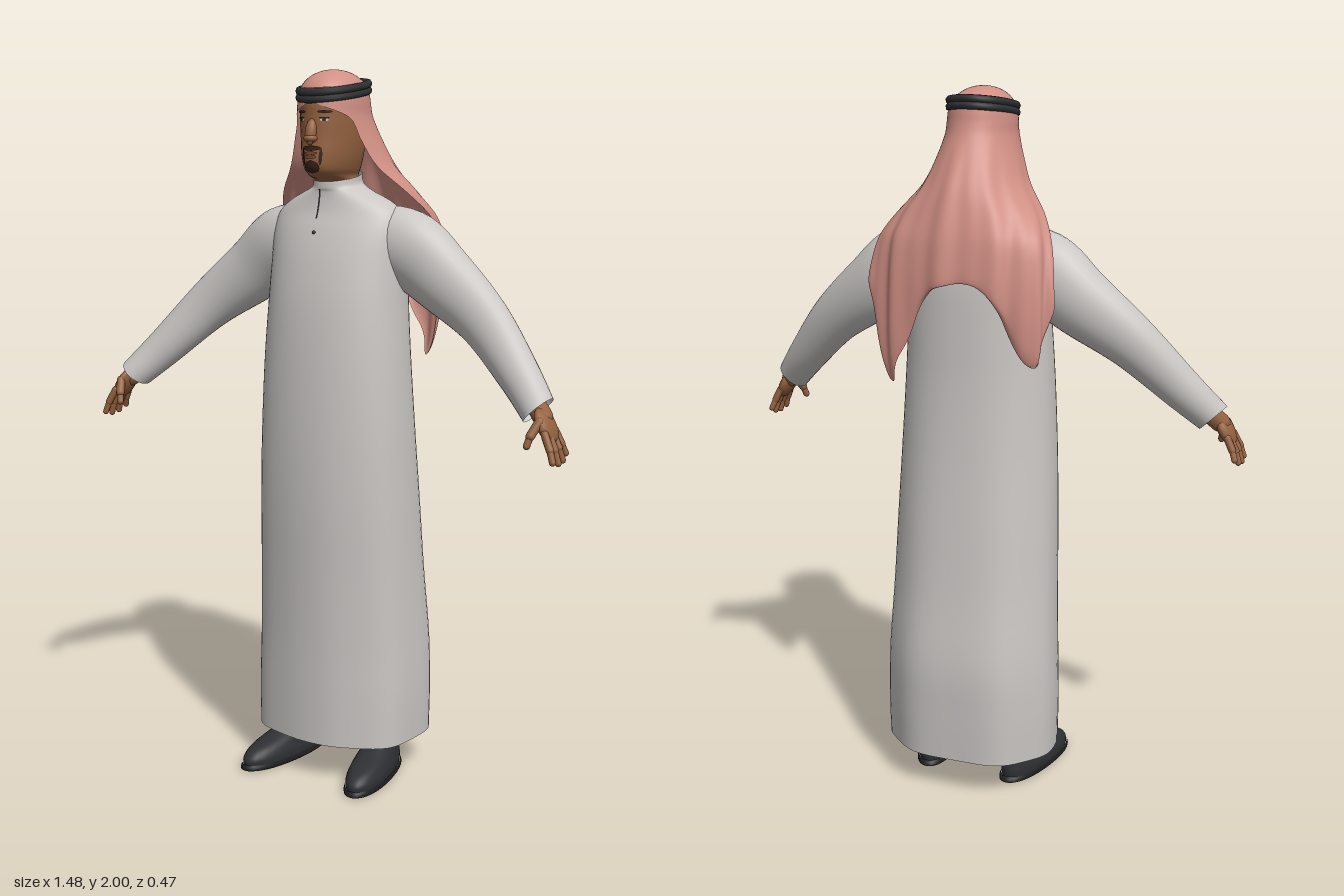
import * as THREE from 'three';

const mat = (name, color, side = THREE.FrontSide) => {
  const m = new THREE.MeshStandardMaterial({ color, side });
  m.name = name;
  return m;
};

// Catmull-Rom interpolation through rows of numbers, t in 0..1
function spline(keys, t) {
  const n = keys.length - 1, f = Math.min(Math.max(t, 0), 1) * n;
  const i = Math.min(Math.floor(f), n - 1), k = f - i;
  const [p, a, b, q] = [keys[Math.max(i - 1, 0)], keys[i], keys[i + 1], keys[Math.min(i + 2, n)]];
  return a.map((_, j) => a[j] + 0.5 * k * (b[j] - p[j]
    + k * (2 * p[j] - 5 * a[j] + 4 * b[j] - q[j] + k * (3 * (a[j] - b[j]) + q[j] - p[j]))));
}

// Smooth surface from f(u, v) -> [x, y, z]; closed wraps around u
function surface(nu, nv, f, closed = true) {
  const pos = [], idx = [], w = closed ? nu : nu + 1;
  for (let j = 0; j <= nv; j++)
    for (let i = 0; i < w; i++) pos.push(...f(i / nu, j / nv));
  for (let j = 0; j < nv; j++)
    for (let i = 0; i < nu; i++) {
      const a = j * w + i, b = j * w + (i + 1) % w;
      idx.push(a, b, b + w, a, b + w, a + w);
    }
  const g = new THREE.BufferGeometry();
  g.setAttribute('position', new THREE.Float32BufferAttribute(pos, 3));
  g.setIndex(idx);
  g.computeVertexNormals();
  return g;
}

// Point on a rounded horizontal section; keys hold [y, halfWidth, zFront, zBack]
const pw = (v, e) => Math.sign(v) * Math.abs(v) ** e;
function ring(keys, a, t, e = 1, out = 0) {
  const [y, hx, zf, zb] = spline(keys, t);
  const s = pw(Math.sin(a), e), c = pw(Math.cos(a), e);
  return [s * (hx + out), Math.max(y, 0), (zf + zb) / 2 + c * ((zf - zb) / 2 + out)];
}

const ROBE = [
  [0.11, 0.25, 0.18, -0.22], [0.25, 0.252, 0.18, -0.225], [0.4, 0.248, 0.18, -0.225],
  [0.6, 0.24, 0.184, -0.2], [0.8, 0.234, 0.19, -0.18], [1.0, 0.226, 0.19, -0.16],
  [1.2, 0.216, 0.182, -0.145], [1.36, 0.207, 0.168, -0.14], [1.48, 0.205, 0.145, -0.135],
  [1.56, 0.205, 0.12, -0.12], [1.615, 0.19, 0.097, -0.1], [1.648, 0.15, 0.088, -0.085],
  [1.672, 0.1, 0.085, -0.07], [1.69, 0.07, 0.087, -0.06], [1.715, 0.066, 0.086, -0.058],
];
const HEAD = [
  [1.64, 0.055, 0.07, -0.05], [1.695, 0.057, 0.08, -0.055], [1.715, 0.054, 0.13, -0.06],
  [1.735, 0.063, 0.15, -0.065], [1.77, 0.073, 0.153, -0.07], [1.82, 0.08, 0.15, -0.075],
  [1.87, 0.083, 0.15, -0.075], [1.92, 0.083, 0.145, -0.07], [1.96, 0.06, 0.1, -0.04],
];
const ARM = [ // x, y, z, radius in the arm's plane, radius in z
  [0.08, 1.55, -0.01, 0.085, 0.07], [0.2, 1.52, -0.02, 0.107, 0.082], [0.31, 1.44, -0.024, 0.096, 0.073],
  [0.45, 1.335, 0.002, 0.075, 0.06], [0.58, 1.205, 0.055, 0.058, 0.055], [0.657, 1.125, 0.1, 0.048, 0.053],
];
const SCARF = [ // y, half width, centre z, depth, half angle measured from the back
  [1.95, 0.088, 0.035, 0.11, 180], [1.93, 0.092, 0.035, 0.114, 180], [1.905, 0.094, 0.034, 0.118, 168],
  [1.87, 0.097, 0.03, 0.127, 120], [1.81, 0.115, 0.015, 0.145, 112], [1.74, 0.147, -0.01, 0.155, 108],
  [1.67, 0.205, -0.045, 0.143, 100], [1.6, 0.247, -0.09, 0.115, 92], [1.53, 0.267, -0.115, 0.1, 86],
  [1.47, 0.27, -0.118, 0.095, 84], [1.42, 0.26, -0.112, 0.09, 82],
];
const HEM = [[1.42], [1.29], [1.3], [1.42], [1.5], [1.5], [1.45], [1.3], [1.21], [1.44], [1.53]];
const SHOE = [
  [0.015, 0.054, 0.235, -0.085], [0.035, 0.055, 0.232, -0.087], [0.058, 0.05, 0.2, -0.085],
  [0.08, 0.044, 0.12, -0.082], [0.1, 0.038, 0.06, -0.078], [0.1, 0.02, 0.03, -0.05],
];
const SOLE = [[0, 0.001, 0.07, 0.07], [0, 0.054, 0.232, -0.086], [0.018, 0.056, 0.238, -0.088]];

export function createModel() {
  const model = new THREE.Group();
  const robeMat = mat('robe cloth', 0xc9c6c3, THREE.DoubleSide);
  const scarfMat = mat('scarf cloth', 0xd08f84, THREE.DoubleSide);
  const skin = mat('skin', 0x94623f);
  const black = mat('black', 0x2f3033);
  const soleMat = mat('sole', 0x1f1f21);
  const hair = mat('hair', 0x35231a);
  const lip = mat('lip', 0x7d4a38);
  const eyeWhite = mat('eye white', 0xcfc4b8);
  const add = (name, geo, material, parent = model) => {
    const m = new THREE.Mesh(geo, material);
    m.name = name;
    parent.add(m);
    return m;
  };
  const TAU = Math.PI * 2;

  // Long robe with soft folds near the hem and a low collar
  add('robe', surface(64, 70, (u, v) => {
    const a = u * TAU, p = ring(ROBE, a, v, 0.84 + 0.16 * v);
    const fold = 1 + 0.018 * Math.sin(a * 7 + 1) * Math.max(0, 1 - v * 2);
    const tilt = Math.max(0, v - 0.85) * 1.4;
    return [p[0] * fold, p[1] - (p[2] - 0.01) * tilt, p[2] * fold];
  }), robeMat);
  const front = (v, out) => {
    const p = ring(ROBE, 0, v, 1, out);
    return [p[0], p[1] - (p[2] - 0.01) * Math.max(0, v - 0.85) * 1.4, p[2]];
  };
  add('placket', surface(1, 10, (u, v) => {
    const p = front(0.69 + v * 0.22, 0.003);
    return [-0.014 + (u - 0.5) * 0.005, p[1], p[2]];
  }, false), black);
  const button = add('button', new THREE.SphereGeometry(0.005, 10, 8), black);
  button.position.set(-0.014, ...front(0.645, 0).slice(1));

  // Head and neck
  add('head', surface(40, 48, (u, v) => ring(HEAD, u * TAU, v)), skin);
  const nose = add('nose', new THREE.SphereGeometry(1, 16, 12), skin);
  nose.scale.set(0.016, 0.036, 0.016);
  nose.position.set(0, 1.832, 0.155);
  nose.rotation.x = -0.22;
  const tip = add('noseTip', new THREE.SphereGeometry(1, 16, 12), skin);
  tip.scale.set(0.019, 0.012, 0.019);
  tip.position.set(0, 1.815, 0.157);

  // Thin oval details that follow the face; row is an index into HEAD
  const patch = (name, a, row, wa, wr, out, material) => add(name, surface(12, 8, (u, v) => {
    const h = 2 * v - 1, w = Math.sqrt(1 - h * h);
    return ring(HEAD, a + wa * (2 * u - 1) * w, (row + wr * h) / 8, 1, out);
  }, false), material);
  patch('chinBeard', 0, 3.05, 0.34, 0.65, 0.004, hair);
  patch('moustache', 0, 4.4, 0.36, 0.14, 0.004, hair);
  patch('upperLip', 0, 4.13, 0.25, 0.1, 0.006, lip);
  patch('lowerLip', 0, 3.9, 0.22, 0.15, 0.007, lip);
  for (const s of [-1, 1]) {
    patch('beardSide', s * 0.36, 3.85, 0.06, 0.6, 0.003, hair);
    patch('eyeWhite', s * 0.42, 5.88, 0.13, 0.09, 0.002, eyeWhite);
    patch('iris', s * 0.42, 5.88, 0.06, 0.09, 0.004, hair);
    patch('eyelid', s * 0.42, 5.98, 0.15, 0.05, 0.005, hair);
    patch('eyebrow', s * 0.43, 6.3, 0.22, 0.08, 0.004, hair);
  }

  // Headscarf: crown, draped cloth with uneven tails, pale turned hem
  const crown = add('scarfCrown', new THREE.SphereGeometry(1, 36, 14, 0, TAU, 0, Math.PI / 2), scarfMat);
  crown.scale.set(0.089, 0.07, 0.111);
  crown.position.set(0, 1.93, 0.035);
  const drape = (u, v) => {
    const s = 2 * u - 1, [y, rx, zc, rz, deg] = spline(SCARF, v);
    const a = s * Math.min(deg, 180) * Math.PI / 180;
    const k = THREE.MathUtils.smoothstep(v, 0.68, 1);
    const r = 1 + Math.max(0, v - 0.3) * (0.1 * Math.sin(s * 17 + 0.6) + 0.05 * Math.sin(s * 31));
    return [rx * Math.sin(a) * (1 + (r - 1) * 0.4), y + (spline(HEM, u)[0] - y) * k, zc - rz * Math.cos(a) * r];
  };
  add('scarfDrape', surface(90, 44, drape, false), scarfMat);
  const hem = (name, u0, u1) => add(name, surface(16, 2, (u, v) => {
    const p = drape(u0 + (u1 - u0) * u, 0.965 + 0.035 * v);
    return [p[0] * 1.01, p[1], p[2] - 0.003];
  }, false), robeMat);
  hem('backHem', 0.36, 0.56);
  hem('sideHem', 0, 0.16);

  // Double head cord, tilted down at the brow
  for (const dy of [-0.009, 0.009]) {
    const pts = Array.from({ length: 20 }, (_, i) => {
      const a = i / 20 * TAU, z = 0.111 * Math.cos(a);
      return new THREE.Vector3(0.087 * Math.sin(a), 1.944 + dy - 0.16 * z, 0.036 + z);
    });
    add('headCord', new THREE.TubeGeometry(new THREE.CatmullRomCurve3(pts, true), 60, 0.011, 8, true), black);
  }

  // Arms, hands and feet, mirrored
  const capsule = (name, p, q, r, parent) => {
    const a = new THREE.Vector3(...p), b = new THREE.Vector3(...q), d = b.clone().sub(a);
    const m = add(name, new THREE.CapsuleGeometry(r, d.length(), 5, 10), skin, parent);
    m.position.copy(a).add(b).multiplyScalar(0.5);
    m.quaternion.setFromUnitVectors(new THREE.Vector3(0, 1, 0), d.normalize());
  };
  for (const s of [1, -1]) {
    const side = new THREE.Group();
    side.name = s > 0 ? 'leftLimbs' : 'rightLimbs';
    side.scale.x = s;
    model.add(side);

    add('sleeve', surface(28, 36, (u, v) => {
      const [x, y, z, r, rz] = spline(ARM, v);
      const p = spline(ARM, v - 0.02), q = spline(ARM, v + 0.02);
      const dx = q[0] - p[0], dy = q[1] - p[1], l = Math.hypot(dx, dy), a = u * TAU;
      const c = Math.cos(a) * r;
      return [x - dy / l * c, y + dx / l * c, z + Math.sin(a) * rz];
    }), robeMat, side);

    capsule('wrist', [0.61, 1.175, 0.07], [0.675, 1.11, 0.11], 0.027, side);
    const palm = add('palm', new THREE.SphereGeometry(1, 18, 14), skin, side);
    palm.scale.set(0.02, 0.05, 0.043);
    palm.position.set(0.688, 1.092, 0.119);
    palm.rotation.z = 0.5;
    [0.155, 0.132, 0.109, 0.088].forEach((z, i) => {
      const len = [0.9, 1, 0.95, 0.75][i], z2 = z + (z - 0.118) * 0.35;
      const knuckle = [0.703 + 0.018 * len, 1.068 - 0.035 * len, (z + z2) / 2 + 0.002];
      capsule('finger', [0.7, 1.075, z], knuckle, 0.0105, side);
      capsule('fingertip', knuckle, [0.71 + 0.021 * len, 1.068 - 0.068 * len, z2], 0.0088, side);
    });
    capsule('thumb', [0.682, 1.105, 0.15], [0.668, 1.07, 0.172], 0.0125, side);
    capsule('thumbTip', [0.668, 1.07, 0.172], [0.662, 1.045, 0.18], 0.0095, side);

    const foot = new THREE.Group();
    foot.name = 'foot';
    foot.position.x = 0.142;
    foot.rotation.y = 0.17;
    side.add(foot);
    add('shoe', surface(32, 24, (u, v) => ring(SHOE, u * TAU, v, 0.9)), black, foot);
    add('sole', surface(32, 8, (u, v) => ring(SOLE, u * TAU, v, 0.9)), soleMat, foot);
    const ankle = add('ankle', new THREE.CylinderGeometry(0.045, 0.033, 0.35, 18), skin, foot);
    ankle.position.set(0, 0.25, -0.025);
  }
  return model;
}
